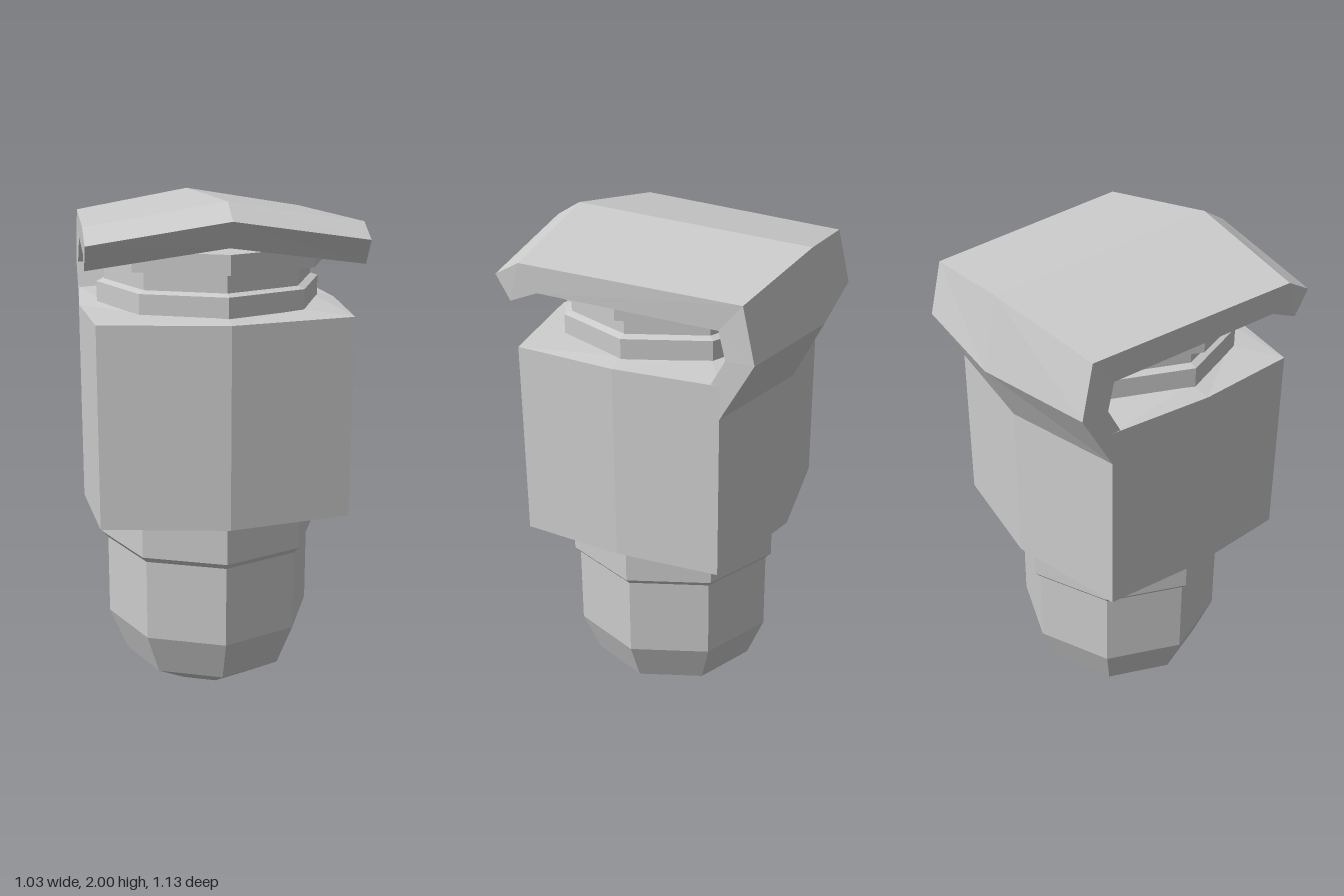
import * as THREE from 'three';

const material = new THREE.MeshStandardMaterial({ color: 0xcccccc, flatShading: true });
const AXIS_Z = 0.055; // the stacked parts share an axis slightly forward of centre

function addMesh(group, name, geometry) {
  const mesh = new THREE.Mesh(geometry, material);
  mesh.name = name;
  group.add(mesh);
  return mesh;
}

function buildGeometry(points, index) {
  const geo = new THREE.BufferGeometry();
  geo.setAttribute('position', new THREE.Float32BufferAttribute(points.flat(), 3));
  geo.setIndex(index);
  const flat = geo.toNonIndexed();
  flat.computeVertexNormals();
  return flat;
}

// Eight-sided turned part from a [radius, y] profile, bottom to top
function turned(profile) {
  const geo = new THREE.LatheGeometry(profile.map(([r, y]) => new THREE.Vector2(r, y)), 8);
  return geo.translate(0, 0, AXIS_Z);
}

// Casing: slightly bowed box, with shallow sloping ledges towards the necks
function casingGeometry() {
  const bowed = [[0, 0.505], [0.48, 0.415], [0.51, 0], [0.48, -0.415],
    [0, -0.505], [-0.48, -0.415], [-0.51, 0], [-0.48, 0.415]];
  const neck = bowed.map((_, i) => [0.42 * Math.sin(i * Math.PI / 4), 0.42 * Math.cos(i * Math.PI / 4)]);
  const rings = [[neck, 0.777], [bowed, 0.79], [bowed, 1.57], [neck, 1.585]];
  const points = rings.flatMap(([ring, y]) => ring.map(([x, z]) => [x, y, z + AXIS_Z]));
  const index = [];
  for (let r = 0; r < 3; r++) {
    for (let i = 0; i < 8; i++) {
      const a = r * 8 + i, b = r * 8 + (i + 1) % 8;
      index.push(a, b, b + 8, a, b + 8, a + 8);
    }
  }
  return buildGeometry(points, index);
}

// Hooked lid: closed profile with a raised, outward-pushed centre line
function lidGeometry() {
  // [side x, side z, side y, centre z, centre y]
  const profile = [
    [0.515, 0.525, 1.86, 0.565, 1.94],   // lip tip
    [0.515, 0.425, 1.915, 0.467, 2.0],   // front ridge
    [0.475, -0.44, 1.88, -0.505, 1.955], // back ridge
    [0.48, -0.49, 1.67, -0.565, 1.67],   // hinge bulge
    [0.48, -0.36, 1.44, -0.45, 1.44],    // hinge foot
    [0.48, -0.30, 1.44, -0.37, 1.44],
    [0.48, -0.325, 1.57, -0.39, 1.57],
    [0.48, -0.38, 1.67, -0.45, 1.67],    // inside of the hinge
    [0.475, -0.35, 1.775, -0.41, 1.85],
    [0.51, 0.355, 1.81, 0.39, 1.885],    // underside
    [0.515, 0.467, 1.765, 0.51, 1.84],   // lip bottom
  ];
  const n = profile.length;
  const points = profile.flatMap(([x, z, y, cz, cy]) => [[-x, y, z], [0, cy, cz], [x, y, z]]);
  const index = [];
  for (let i = 0; i < n; i++) {
    for (let c = 0; c < 2; c++) {
      const a = i * 3 + c, d = ((i + 1) % n) * 3 + c;
      index.push(a, a + 1, d, a + 1, d + 1, d);
    }
  }
  // Flat ends, wound to face outwards on each side
  const outline = profile.map(([, z, y]) => new THREE.Vector2(-z, y));
  for (const face of THREE.ShapeUtils.triangulateShape(outline, [])) {
    const area = THREE.ShapeUtils.area(face.map((i) => outline[i]));
    const [a, b, c] = area > 0 ? face : [face[0], face[2], face[1]];
    index.push(a * 3 + 2, b * 3 + 2, c * 3 + 2, a * 3, c * 3, b * 3);
  }
  return buildGeometry(points, index);
}

export function createModel() {
  const group = new THREE.Group();
  group.name = 'lidded container';

  // Rounded lower bulb with its collar
  addMesh(group, 'lowerBulb', turned([
    [0, 0], [0.175, 0], [0.345, 0.1], [0.417, 0.275], [0.417, 0.6],
    [0.44, 0.625], [0.44, 0.785], [0, 0.785],
  ]));

  addMesh(group, 'casing', casingGeometry());

  // Stepped neck and rim under the lid
  addMesh(group, 'neckAndRim', turned([
    [0, 1.55], [0.44, 1.55], [0.44, 1.66], [0.41, 1.67],
    [0.41, 1.745], [0.48, 1.745], [0.48, 1.82], [0, 1.82],
  ]));

  addMesh(group, 'hookedLid', lidGeometry());
  return group;
}
